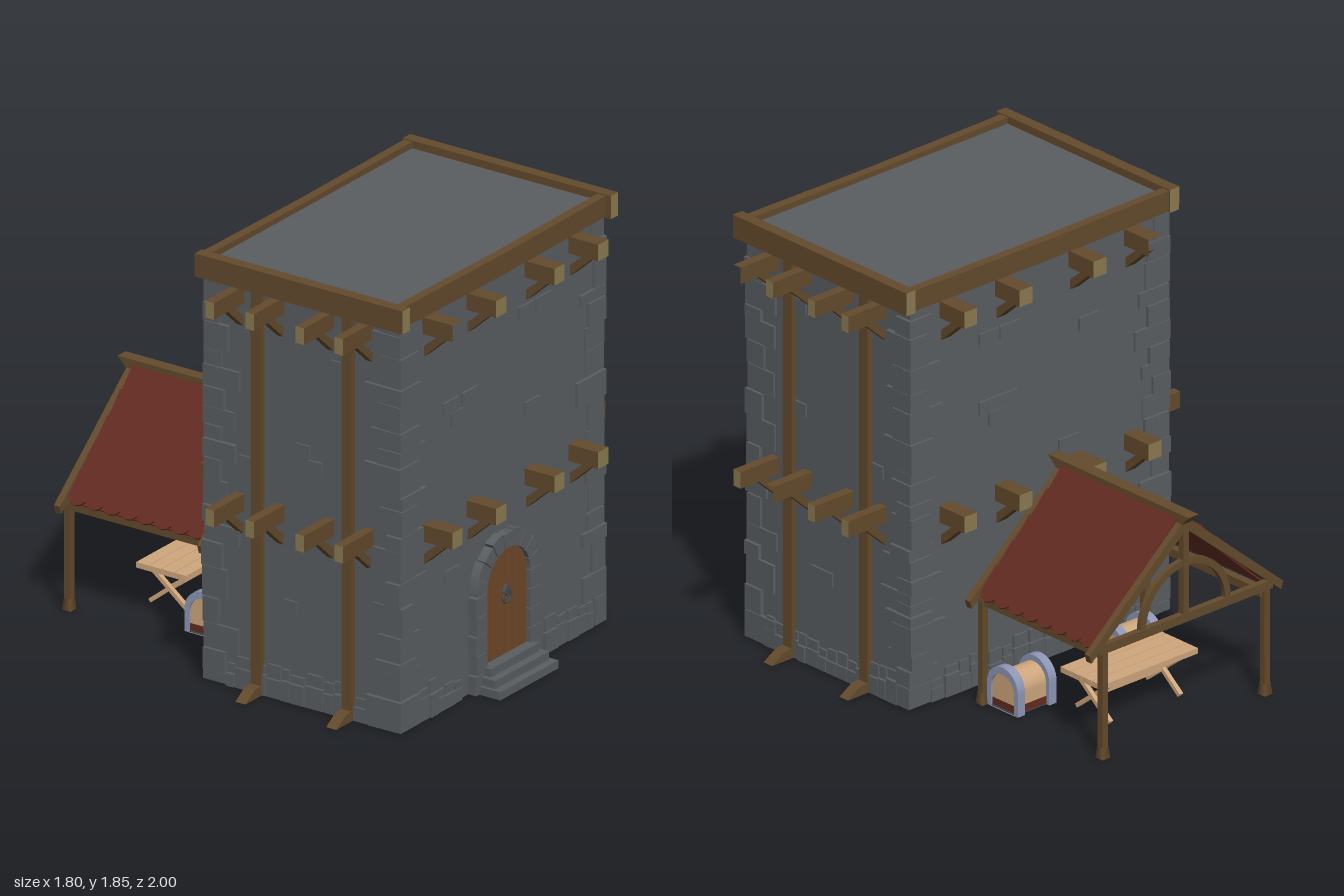
import * as THREE from 'three';

const mat = (name, color, side = THREE.FrontSide) => {
  const m = new THREE.MeshStandardMaterial({ color, side });
  m.name = name;
  return m;
};

export function createModel() {
  const stone = mat('stone', 0x5a5e61), wallStone = stone.clone();
  wallStone.side = THREE.DoubleSide;
  const wood = mat('wood', 0x634a2c), cut = mat('cut wood', 0x8c7b52);
  const doorWood = mat('door wood', 0x70492a), iron = mat('iron', 0x4a4d52);
  const red = mat('roof tile', 0x642b22, THREE.DoubleSide);
  const pale = mat('pale wood', 0xcfa67c), blue = mat('blue grey', 0x8e96b6);

  let seed = 7;
  const rnd = (a, b) => {
    seed = (seed * 16807) % 2147483647;
    return a + (b - a) * seed / 2147483647;
  };
  const group = (parent, name, x = 0, y = 0, z = 0) => {
    const g = new THREE.Group();
    g.name = name;
    g.position.set(x, y, z);
    parent.add(g);
    return g;
  };
  const add = (parent, name, geo, m, x = 0, y = 0, z = 0) => {
    const o = new THREE.Mesh(geo, m);
    o.name = name;
    o.position.set(x, y, z);
    parent.add(o);
    return o;
  };
  const box = (p, name, m, w, h, d, x, y, z) => add(p, name, new THREE.BoxGeometry(w, h, d), m, x, y, z);
  const extrude = (shape, depth) =>
    new THREE.ExtrudeGeometry(shape, { depth, bevelEnabled: false, curveSegments: 10 });
  const poly = pts => new THREE.Shape(pts.map(p => new THREE.Vector2(...p)));
  const ring = (r0, r1, a0, a1) => {
    const s = new THREE.Shape();
    s.absarc(0, 0, r1, a0, a1, false);
    s.absarc(0, 0, r0, a1, a0, true);
    return s;
  };
  // Profile drawn in (z, y), extruded across x
  const sideProfile = (p, name, m, pts, width, x = 0) => {
    const geo = extrude(poly(pts.map(([z, y]) => [-z, y])), width);
    geo.translate(0, 0, -width / 2).rotateY(Math.PI / 2);
    return add(p, name, geo, m, x);
  };

  const root = new THREE.Group();
  root.name = 'stoneTower';
  const CZ = 0.38, HX = 0.69, HZ = 0.47;

  // Tower shell, open underneath
  const tower = group(root, 'tower', 0, 0, CZ);
  const shell = new THREE.BoxGeometry(HX * 2, 1.815, HZ * 2);
  const ix = Array.from(shell.index.array);
  ix.splice(18, 6);
  shell.setIndex(ix);
  shell.clearGroups();
  add(tower, 'walls', shell, wallStone, 0, 0.9075);

  // Rim timbers around the roof
  for (const s of [-1, 1]) {
    const side = new THREE.BoxGeometry(0.05, 0.1, 1.015);
    add(tower, 'sideRim', side, [wood, wood, wood, wood, cut, cut], s * 0.715, 1.798, 0.01);
    const r = new THREE.BoxGeometry(1.38, 0.09, 0.04, 4, 1, 1), p = r.attributes.position;
    for (let i = 0; i < p.count; i++) p.setY(i, p.getY(i) - 0.006 * (1 - Math.abs(p.getX(i)) / 0.69));
    add(tower, 'endRim', r, wood, 0, 1.798, s * 0.472);
  }

  // Corner stones
  const corners = group(tower, 'cornerStones');
  for (const sx of [-1, 1]) for (const sz of [-1, 1]) {
    let y = 0.0, k = 0;
    while (y < 1.73) {
      const h = Math.min(rnd(0.045, 0.14), 1.745 - y), long = k++ % 2;
      const wx = long ? rnd(0.11, 0.2) : rnd(0.07, 0.14), wz = long ? rnd(0.07, 0.12) : rnd(0.11, 0.18);
      const ox = HX + rnd(0.008, 0.02), oz = HZ + rnd(0.006, 0.018);
      box(corners, 'cornerStone', stone, wx, h - 0.004, wz,
        sx * (ox - wx / 2), y + h / 2, sz * (oz - wz / 2));
      y += h;
    }
  }

  // Each wall: base stones, loose bricks, jutting beams with struts
  const BX = [-0.5, -0.2, 0.2, 0.5];
  const SX = [-0.32, -0.13, 0.115, 0.31];
  const walls = [
    { name: 'frontWall', turn: 0, half: HX, dist: HZ, reach: 0.615, bw: 0.07, at: BX, open: ['1:0'],
      bricks: [[0.17, 1.525], [0.285, 1.525], [-0.35, 1.29], [-0.22, 1.29], [-0.295, 1.23], [0.21, 1.1], [-0.34, 0.56]] },
    { name: 'backWall', turn: Math.PI, half: HX, dist: HZ, reach: 0.615, bw: 0.07, at: BX, open: ['1:3'],
      bricks: [[-0.27, 1.5], [-0.16, 1.5], [-0.17, 1.2], [-0.27, 1.2], [-0.22, 1.14], [0.16, 0.9], [0.27, 1.4]] },
    { name: 'leftWall', turn: Math.PI / 2, half: HZ, dist: HX, reach: 0.9, bw: 0.042, at: SX, open: ['1:0', '0:1'],
      bricks: [[-0.17, 1.55], [-0.17, 1.1], [-0.075, 0.41], [-0.015, 0.41], [0.28, 0.98]] },
    { name: 'rightWall', turn: -Math.PI / 2, half: HZ, dist: HX, reach: 0.9, bw: 0.042, at: SX.map(v => -v).reverse(), open: [],
      bricks: [[0.17, 1.5], [0.0, 1.1], [0.06, 1.04], [-0.06, 0.41], [-0.28, 0.98]] },
  ];
  for (const w of walls) {
    const g = group(tower, w.name);
    g.rotation.y = w.turn;
    for (const [x, y] of w.bricks)
      box(g, 'brick', stone, w.half === HX ? 0.105 : 0.065, 0.058, 0.03, x, y, w.dist - 0.006);
    for (let x = -w.half + 0.1; x < w.half - 0.08;) {
      const bw = rnd(0.04, 0.09);
      if (w.turn !== 0 || Math.abs(x + bw / 2) > 0.26) {
        const h = rnd(0.05, 0.1), h2 = rnd(0.03, 0.06);
        box(g, 'baseStone', stone, bw - 0.004, h, 0.04, x + bw / 2, h / 2, w.dist + rnd(-0.008, 0));
        box(g, 'baseStone', stone, bw * 0.85, h2, 0.04, x + bw / 2, h + h2 / 2 + 0.003, w.dist - 0.01);
      }
      x += bw;
    }
    [0.77, 1.668].forEach((bottom, level) => w.at.forEach((x, i) => {
      const len = w.reach - w.dist + 0.02, beam = new THREE.BoxGeometry(w.bw, 0.072, len);
      const isOpen = w.open.includes(`${level}:${i}`);
      if (isOpen) {
        const keep = Array.from(beam.index.array);
        keep.splice(24, 6);
        beam.setIndex(keep);
        beam.clearGroups();
      }
      add(g, 'juttingBeam', beam, isOpen ? wood : [wood, wood, wood, wood, cut, wood],
        x, bottom + 0.036, w.dist - 0.02 + len / 2);
      const d = w.dist - 0.005;
      sideProfile(g, 'strut', wood, [[d, bottom - 0.105], [d + 0.115, bottom], [d + 0.07, bottom], [d, bottom - 0.06]],
        w.bw * 0.74, x);
    }));
    // Upright timbers with wedge feet on the two narrow walls
    if (w.half === HZ) for (const z of [0.606, 0.163]) {
      const x = (CZ - z) * Math.sign(w.turn);
      box(g, 'uprightTimber', wood, 0.05, 1.75, 0.04, x, 0.875, w.dist + 0.004);
      sideProfile(g, 'timberFoot', wood, [[0.68, 0], [0.82, 0], [0.755, 0.04], [0.68, 0.045]], 0.05, x);
    }
  }

  // Doorway: arch stones, planks, ring handle, steps
  const door = group(root, 'doorway', 0, 0, CZ + HZ);
  const N = 9;
  for (let i = 0; i < N; i++) {
    const a = Math.PI * i / N, gap = 0.012;
    add(door, 'archStone', extrude(ring(0.148, 0.212 + 0.009 * (i % 2), a + gap, a + Math.PI / N - gap), 0.05),
      stone, 0, 0.42, -0.01);
  }
  for (const s of [-1, 1]) for (let i = 0; i < 5; i++) {
    const w = i % 2 ? 0.068 : 0.077;
    box(door, 'jambStone', stone, w, 0.081, 0.05, s * (0.148 + w / 2), 0.042 + i * 0.084, 0.015);
  }
  const top = x => 0.42 + Math.sqrt(Math.max(0, 0.149 ** 2 - x * x));
  for (let i = 0; i < 6; i++) {
    const a = -0.148 + i * 0.0495, b = a + 0.0455, m = (a + b) / 2;
    add(door, 'doorPlank', extrude(poly([[a, 0.1], [b, 0.1], [b, top(b)], [m, top(m)], [a, top(a)]]), 0.022), doorWood);
  }
  add(door, 'doorRing', new THREE.TorusGeometry(0.026, 0.006, 6, 14), iron, 0, 0.355, 0.03);
  box(door, 'ringPlate', iron, 0.035, 0.035, 0.02, 0, 0.382, 0.025).rotation.z = Math.PI / 4;
  [[0.2, 0.14], [0.185, 0.105], [0.165, 0.07]].forEach(([hw, d], i) =>
    box(door, 'step', stone, hw * 2, 0.035, d, 0, 0.0175 + i * 0.035, d / 2));

  // Open shelter behind the tower
  const shelter = group(root, 'shelter', 0, 0, -0.592);
  const ang = Math.atan2(0.43, 0.47), c = Math.cos(ang), s = Math.sin(ang);
  for (const turn of [0, Math.PI]) {
    const half = group(shelter, 'shelterHalf');
    half.rotation.y = turn;
    // Roof slope: local x along the eave, y up the slope, z outward
    const slope = group(half, 'roofSlope', 0.46, 0.475, 0);
    slope.setRotationFromMatrix(new THREE.Matrix4().makeBasis(
      new THREE.Vector3(0, 0, -1), new THREE.Vector3(-c, s, 0), new THREE.Vector3(s, c, 0)));
    for (let r = 0; r < 5; r++) {
      const n = 8, w = 0.67 / n, sh = new THREE.Shape();
      sh.moveTo(-0.335, 0.135);
      sh.lineTo(-0.335, 0.01);
      const start = r % 2 ? -0.335 - w / 2 : -0.335;
      for (let k = 0; k < n + r % 2; k++) {
        const x0 = Math.max(-0.335, start + k * w), x1 = Math.min(0.335, start + (k + 1) * w);
        sh.bezierCurveTo(x0 + (x1 - x0) * 0.15, -0.022, x1 - (x1 - x0) * 0.15, -0.022, x1, 0.01);
      }
      sh.lineTo(0.335, 0.135);
      const geo = new THREE.ExtrudeGeometry(sh, { depth: 0.01, bevelEnabled: false, curveSegments: 4 });
      add(slope, 'tileRow', geo, red, 0, r * 0.124, 0.012).rotation.x = 0.09;
    }
    box(slope, 'roofUnderside', red, 0.67, 0.62, 0.008, 0, 0.31, -0.004);
    box(half, 'eaveBeam', wood, 0.035, 0.035, 0.7, 0.43, 0.45, 0);
    for (const e of [-1, 1]) {
      const z = e * 0.35;
      add(half, 'gableRafter', extrude(poly([[0, 0.868], [0.515, 0.44], [0.525, 0.475], [0, 0.92]]), 0.03), wood, 0, 0, z - 0.015);
      box(half, 'shelterPost', wood, 0.03, 0.46, 0.028, 0.44, 0.23, z);
      add(half, 'postFoot', new THREE.CylinderGeometry(0.023, 0.03, 0.05, 4).rotateY(Math.PI / 4), wood, 0.44, 0.025, z);
      add(half, 'curvedBrace', extrude(ring(0.215, 0.245, 0, Math.PI / 2), 0.022), wood, 0, 0.49, z - 0.011);
    }
  }
  for (const e of [-1, 1]) {
    box(shelter, 'tieBeam', wood, 0.94, 0.038, 0.028, 0, 0.478, e * 0.35);
    box(shelter, 'kingPost', wood, 0.032, 0.4, 0.028, 0, 0.69, e * 0.35);
  }
  sideProfile(shelter, 'ridgeBeam', wood, [[-0.365, 0.893], [0.365, 0.893], [0.415, 0.938], [-0.408, 0.938]], 0.055);

  // Trestle table
  const table = group(root, 'table', 0, 0, -0.622);
  for (let i = 0; i < 4; i++) box(table, 'tablePlank', pale, 0.52, 0.024, 0.059, 0, 0.178, -0.0925 + i * 0.0617);
  for (const x of [-0.19, 0.19]) for (const e of [-1, 1])
    box(table, 'crossLeg', pale, 0.02, 0.27, 0.018, x + e * 0.009, 0.087, 0).rotation.x = e * 0.9;
  box(table, 'tableRail', pale, 0.38, 0.016, 0.016, 0, 0.087, 0);

  // Two arched chests with hoops at the ends
  const vault = (r, h) => {
    const v = new THREE.Shape();
    v.moveTo(-r, 0);
    v.lineTo(r, 0);
    v.lineTo(r, h);
    v.absarc(0, h, r, 0, Math.PI, false);
    v.lineTo(-r, 0);
    return v;
  };
  for (const x of [-0.25, 0.33]) {
    const chest = group(root, 'archedChest', x, 0, -0.35);
    chest.rotation.y = Math.PI / 2;
    add(chest, 'chestBody', extrude(vault(0.072, 0.09), 0.19), pale, 0, 0.003, -0.095);
    box(chest, 'chestBase', red, 0.146, 0.032, 0.194, 0, 0.021, 0);
    box(chest, 'chestBottom', iron, 0.146, 0.006, 0.2, 0, 0.003, 0);
    const hoop = vault(0.09, 0.1);
    hoop.holes.push(new THREE.Path(vault(0.068, 0.09).getPoints(10)));
    for (const z of [-0.105, 0.065]) add(chest, 'chestHoop', extrude(hoop, 0.04), blue, 0, 0, z);
  }
  return root;
}
